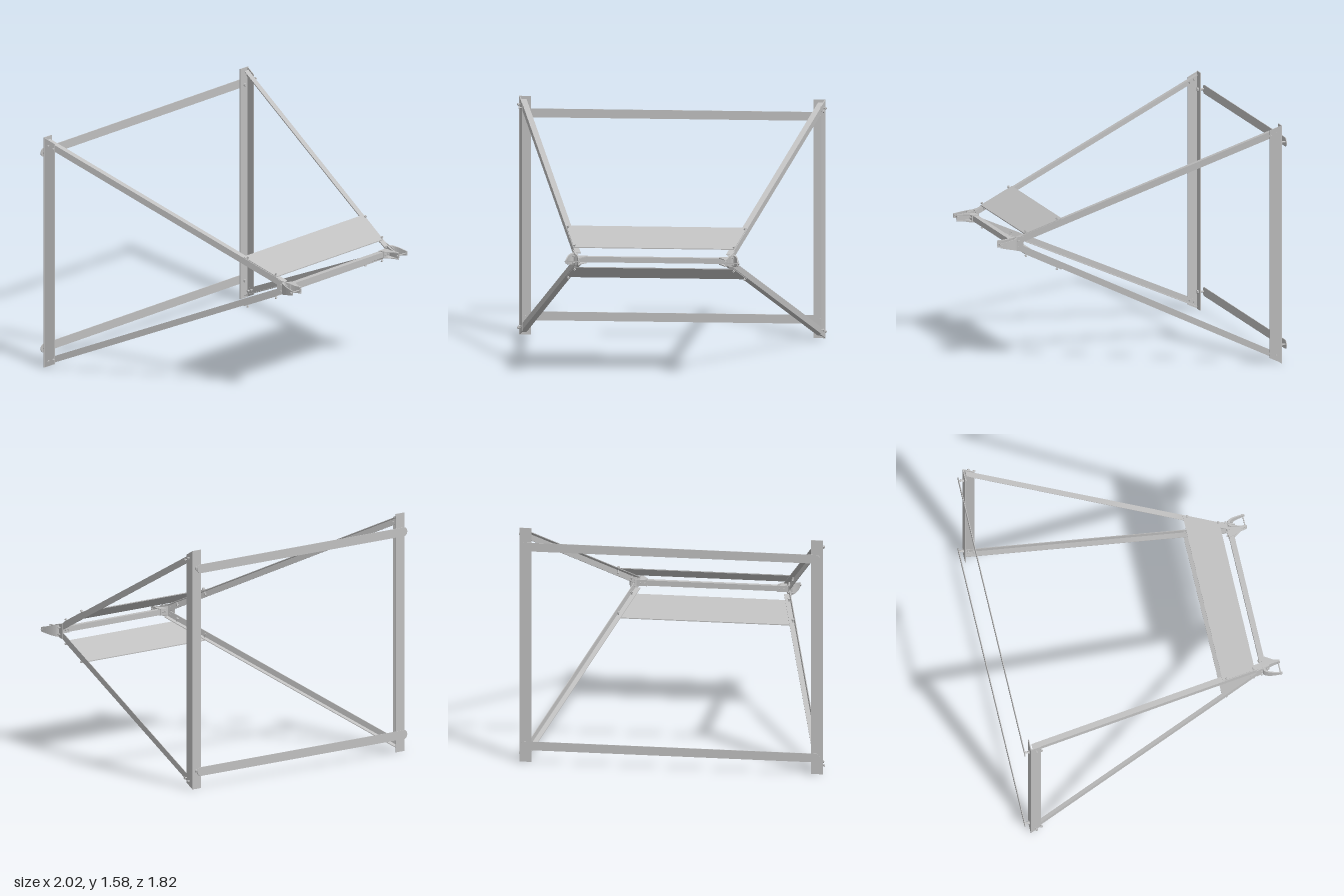
import * as THREE from 'three';

const MID = 0.7875;          // height of the horizontal symmetry plane
const SX = 0.291, SY = 0.445; // inward and vertical slope of the arms per unit z
const sideX = z => 0.745 - SX * z;
const topY = z => 0.387 - SY * z;

export function createModel() {
  const model = new THREE.Group();
  const steel = new THREE.MeshStandardMaterial({ color: 0xc0c0c0 });
  steel.name = 'galvanisedSteel';

  // Move every vertex by a rule
  function warp(geo, rule) {
    const p = geo.attributes.position, v = new THREE.Vector3();
    for (let i = 0; i < p.count; i++) {
      rule(v.fromBufferAttribute(p, i));
      p.setXYZ(i, v.x, v.y, v.z);
    }
    geo.computeVertexNormals();
    return geo;
  }

  // Add a part with optional mirror copies across x = 0 and y = MID
  function add(name, source, mirrorX = false, mirrorY = false) {
    const base = source.index ? source.toNonIndexed() : source;
    for (const sx of mirrorX ? [1, -1] : [1]) for (const sy of mirrorY ? [1, -1] : [1]) {
      const g = base.clone().scale(sx, sy, 1);
      if (sx * sy < 0) { // restore the winding after a reflection
        const p = g.attributes.position, a = new THREE.Vector3(), b = new THREE.Vector3();
        for (let i = 0; i < p.count; i += 3) {
          a.fromBufferAttribute(p, i + 1);
          b.fromBufferAttribute(p, i + 2);
          p.setXYZ(i + 1, b.x, b.y, b.z);
          p.setXYZ(i + 2, a.x, a.y, a.z);
        }
      }
      g.computeVertexNormals();
      const mesh = new THREE.Mesh(g.translate(0, MID, 0), steel);
      mesh.name = name;
      model.add(mesh);
    }
  }

  const box = (x0, x1, y0, y1, z0, z1) => new THREE.BoxGeometry(x1 - x0, y1 - y0, z1 - z0)
    .translate((x0 + x1) / 2, (y0 + y1) / 2, (z0 + z1) / 2);

  const UP = new THREE.Vector3(0, 1, 0);
  function rod(center, axis, r, len, sides = 6) {
    const q = new THREE.Quaternion().setFromUnitVectors(UP, axis.clone().normalize());
    return new THREE.CylinderGeometry(r, r, len, sides).applyQuaternion(q).translate(...center);
  }
  // Hex head, shank and nut
  function bolt(center, axis, len, mirrorY = true, r = 0.009) {
    const n = axis.clone().normalize(), c = new THREE.Vector3(...center);
    add('boltShank', rod(center, n, r * 0.5, len, 8), true, mirrorY);
    for (const s of [-1, 1])
      add('boltHead', rod(c.clone().addScaledVector(n, s * (len / 2 - 0.006)).toArray(), n, r, 0.006), true, mirrorY);
  }
  const topNormal = new THREE.Vector3(0, 1, SY);
  const sideNormal = new THREE.Vector3(1, 0, SX);

  // Upright angle posts: back flange, and side flange with sloping ends
  add('postBackFlange', box(0.922, 1, -MID, MID, -0.875, -0.869), true);
  add('postSideFlange', warp(box(-0.006, 0, -1, 1, -0.875, -0.8), v => {
    v.x += sideX(v.z);
    v.y = Math.sign(v.y) * (0.398 - SY * v.z);
  }), true);

  // Four converging angle-section arms
  const L = new THREE.Shape([[0, 0], [-0.038, 0], [-0.038, -0.005], [-0.005, -0.005],
    [-0.005, -0.045], [0, -0.045]].map(p => new THREE.Vector2(...p)));
  const arm = new THREE.ExtrudeGeometry(L, { depth: 1.64, bevelEnabled: false }).translate(0, 0, -0.86);
  add('arm', warp(arm, v => {
    v.x += sideX(v.z) - 0.006;
    v.y += topY(v.z);
  }), true, true);

  // Sloping trapezoid plates joining the arms
  add('crossPlate', warp(box(-1, 1, 0, 0.006, 0.5, 0.73), v => {
    v.x *= sideX(v.z) - 0.01;
    v.y += topY(v.z);
  }), false, true);
  for (const z of [0.52, 0.715]) bolt([sideX(z) - 0.018, topY(z) - 0.005, z], topNormal, 0.052);

  // Bolts where the arms meet the posts
  for (const z of [-0.84, -0.805]) bolt([sideX(z) - 0.004, topY(z) - 0.024, z], sideNormal, 0.05);

  // Rear flat rails with rounded ends on short stand-offs
  const rail = new THREE.Shape();
  rail.absarc(0.96, 0, 0.029, -Math.PI / 2, Math.PI / 2);
  rail.absarc(-0.96, 0, 0.029, Math.PI / 2, Math.PI * 1.5);
  const railGeo = new THREE.ExtrudeGeometry(rail, { depth: 0.005, bevelEnabled: false, curveSegments: 8 });
  add('rearRail', railGeo.translate(0, 0.67, -0.911), false, true);
  const zAxis = new THREE.Vector3(0, 0, 1);
  add('railStandoff', rod([0.965, 0.67, -0.885], zAxis, 0.007, 0.046, 10), true, true);
  add('railNut', rod([0.965, 0.67, -0.864], zAxis, 0.013, 0.01), true, true);
  add('railCollar', rod([0.965, 0.67, -0.88], zAxis, 0.013, 0.008), true, true);

  // Front crossbar
  add('crossbar', box(-0.5, 0.5, -0.018, 0.018, 0.775, 0.81));

  // Tapered clevis straps, drawn in plan and extruded upward
  const taper = v => { v.y *= THREE.MathUtils.mapLinear(v.z, 0.785, 0.905, 0.04, 0.014); };
  const plan = shape => new THREE.ExtrudeGeometry(shape, { depth: 2, bevelEnabled: false, curveSegments: 8 })
    .rotateX(Math.PI / 2).translate(0, 1, 0);
  const strap = new THREE.Shape();
  strap.moveTo(0.556, 0.905);
  strap.quadraticCurveTo(0.55, 0.806, 0.52, 0.8);
  strap.quadraticCurveTo(0.49, 0.806, 0.484, 0.905);
  strap.lineTo(0.477, 0.905);
  strap.quadraticCurveTo(0.482, 0.79, 0.505, 0.785);
  strap.lineTo(0.53, 0.785);
  strap.quadraticCurveTo(0.558, 0.81, 0.563, 0.905);
  strap.closePath();
  add('clevis', warp(plan(strap), taper), true);
  bolt([0.52, 0, 0.894], new THREE.Vector3(1, 0, 0), 0.1, false, 0.008);

  // Triangular gussets tying the clevis to the crossbar
  const gusset = new THREE.Shape([[0.5, 0.79], [0.43, 0.79], [0.432, 0.815], [0.465, 0.865], [0.474, 0.905], [0.482, 0.905]]
    .map(p => new THREE.Vector2(...p)));
  add('gusset', plan(gusset).scale(1, 0.003, 1).translate(0, 0.02, 0), true, true);
  add('clampBlock', box(0.43, 0.495, -0.021, 0.021, 0.772, 0.814), true);
  for (const x of [0.445, 0.472]) bolt([x, 0, 0.793], zAxis, 0.062, false, 0.007);

  // Small side gusset and bolts where upper and lower arms meet
  add('noseGusset', warp(box(-0.005, 0.001, -1, 1, 0.74, 0.83), v => {
    v.x += sideX(v.z);
    v.y *= THREE.MathUtils.mapLinear(v.z, 0.74, 0.83, 0.052, 0.036);
  }), true);
  for (const z of [0.77, 0.81]) bolt([sideX(z), 0.022, z], sideNormal, 0.036, true, 0.007);

  return model;
}
